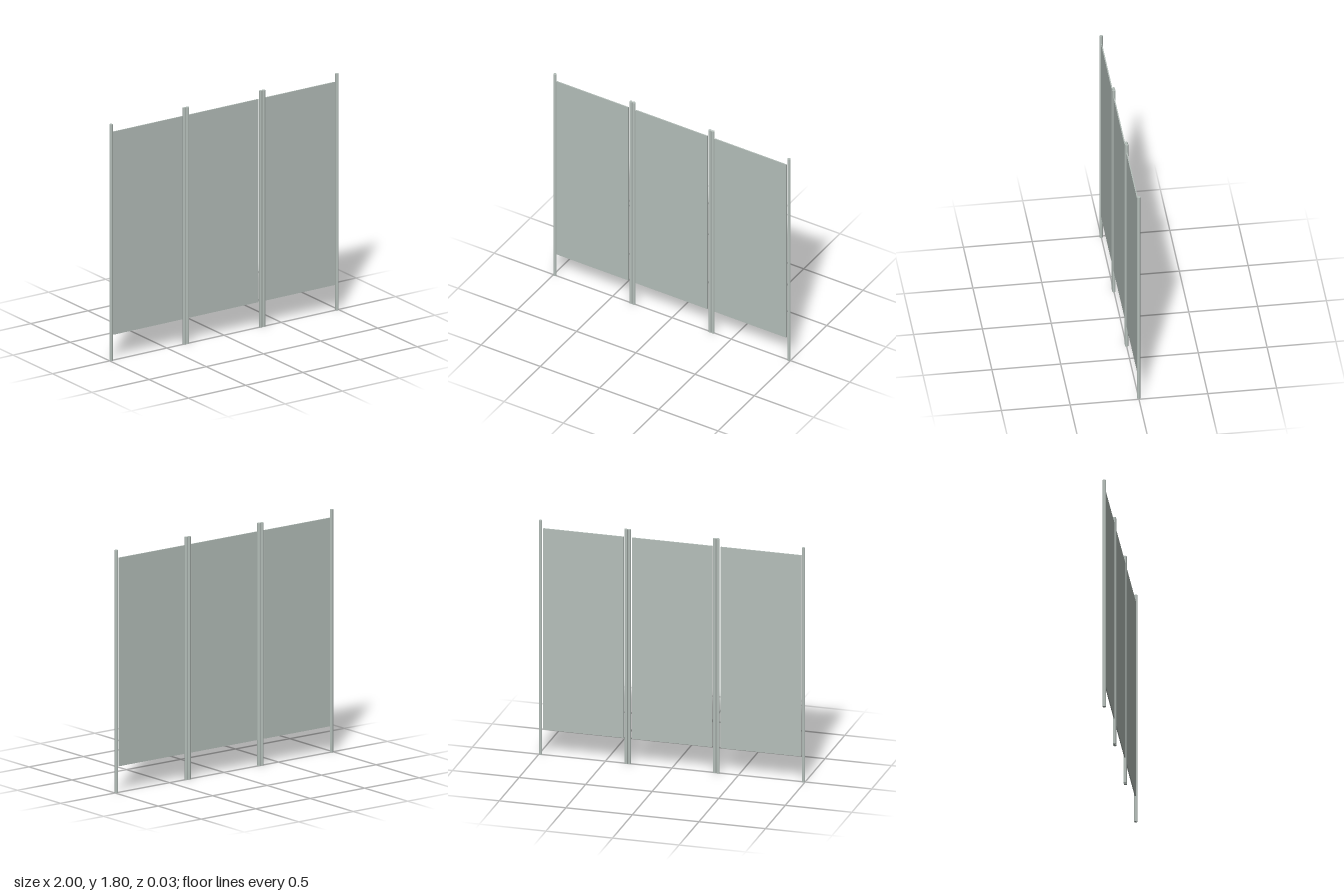
import * as THREE from 'three';

export function createModel() {
  const model = new THREE.Group();
  model.name = 'foldingScreen';

  const greyGreen = new THREE.MeshStandardMaterial({ color: 0xb5bfba, flatShading: true });
  greyGreen.name = 'greyGreen';

  const pitch = 2 / 3, height = 1.8, radius = 0.0125;
  const postGeometry = new THREE.CylinderGeometry(radius, radius, height, 8);
  const panelGeometry = new THREE.BoxGeometry(0.603, 1.546, 0.008);

  const add = (parent, geometry, name, x, y) => {
    const mesh = new THREE.Mesh(geometry, greyGreen);
    mesh.name = name;
    mesh.position.set(x, y, 0);
    parent.add(mesh);
  };

  // Three identical sections side by side: a hanging panel between two posts
  for (const i of [-1, 0, 1]) {
    const section = new THREE.Group();
    section.name = ['leftSection', 'middleSection', 'rightSection'][1 - i];
    section.position.x = i * pitch;
    add(section, panelGeometry, 'panel', -0.002, 0.967);
    for (const side of [-1, 1]) {
      add(section, postGeometry, side > 0 ? 'leftPost' : 'rightPost', side * (pitch / 2 - radius), height / 2);
    }
    model.add(section);
  }
  return model;
}
